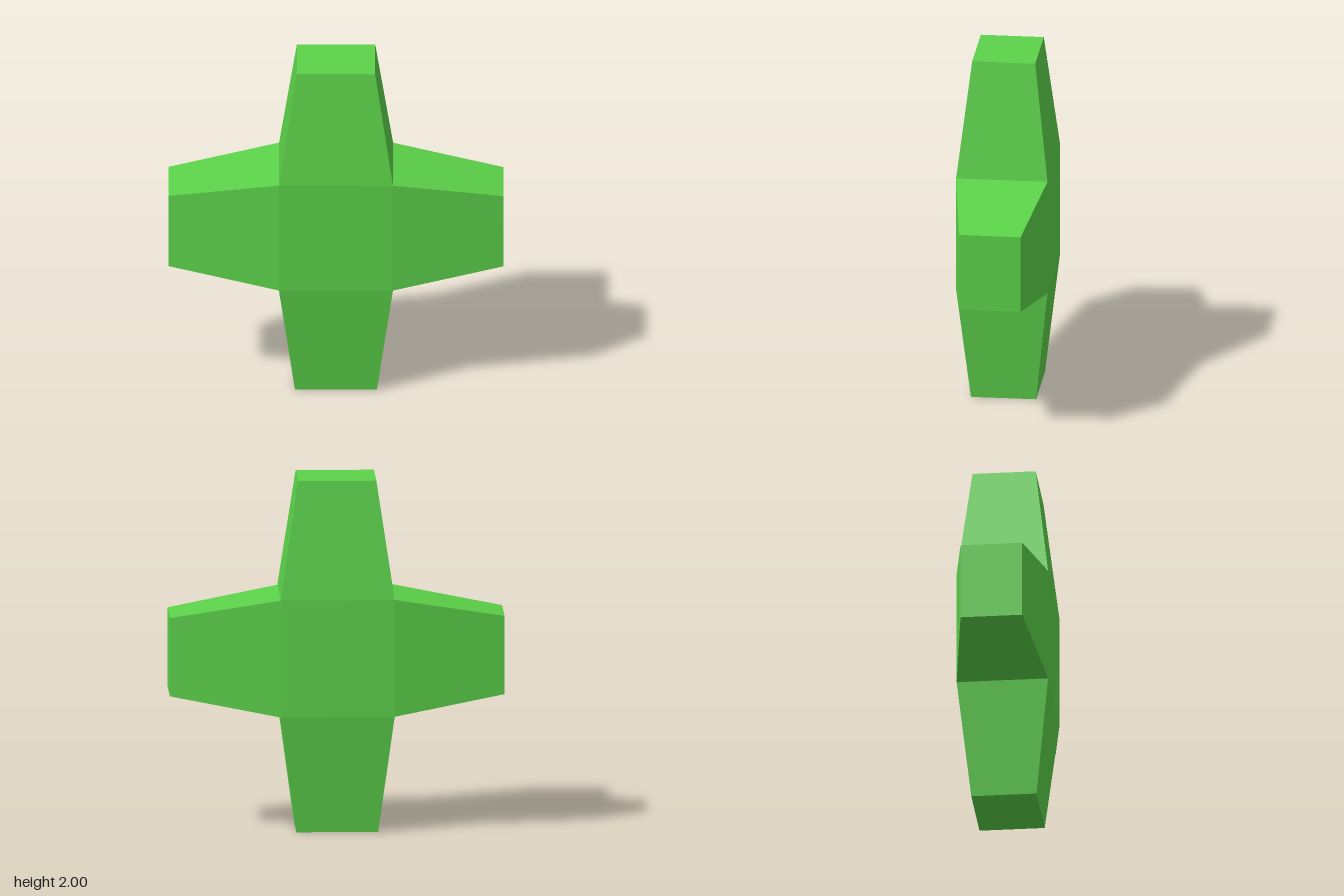
import * as THREE from 'three';

const CORE = { x: 0.32, y: 0.333, z: 0.258 }; // half sizes of the central block
const CENTRE_Y = 1.001;

const material = new THREE.MeshStandardMaterial({ color: 0x5cd24a, flatShading: true });

// Flat-sided surface from quads whose corners run anticlockwise seen from outside
function quadMesh(name, quads) {
  const points = quads.flatMap(([a, b, c, d]) => [a, b, c, a, c, d]);
  const geometry = new THREE.BufferGeometry();
  geometry.setAttribute('position', new THREE.Float32BufferAttribute(points.flat(), 3));
  geometry.computeVertexNormals();
  const mesh = new THREE.Mesh(geometry, material);
  mesh.name = name;
  return mesh;
}

// Rectangular cross-section at height y
const ring = (w, y, d) => [[-w, y, d], [w, y, d], [w, y, -d], [-w, y, -d]];

// Tapered arm pointing up, open where it joins the core
function taperedArm(name, baseW, baseY, tipW, tipY, tipD, angle) {
  const base = ring(baseW, baseY, CORE.z);
  const tip = ring(tipW, tipY, tipD);
  const sides = base.map((p, i) => {
    const j = (i + 1) % 4;
    return [p, base[j], tip[j], tip[i]];
  });
  const mesh = quadMesh(name, [...sides, tip]);
  mesh.rotation.z = angle;
  return mesh;
}

export function createModel() {
  const model = new THREE.Group();
  model.name = 'taperedCross';

  const cross = new THREE.Group();
  cross.name = 'cross';
  cross.position.y = CENTRE_Y;
  model.add(cross);

  // Front and back faces of the core
  const { x, y, z } = CORE;
  cross.add(quadMesh('core', [
    [[-x, -y, z], [x, -y, z], [x, y, z], [-x, y, z]],
    [[x, -y, -z], [-x, -y, -z], [-x, y, -z], [x, y, -z]],
  ]));

  // Upper and lower arms
  cross.add(taperedArm('topArm', x, y, 0.22, 2 - CENTRE_Y, 0.178, 0));
  cross.add(taperedArm('bottomArm', x, y, 0.23, CENTRE_Y, 0.184, Math.PI));

  // Mirrored side arms
  for (const side of [1, -1]) {
    cross.add(taperedArm(side > 0 ? 'leftArm' : 'rightArm',
      y, x, 0.223, 0.94, 0.174, -side * Math.PI / 2));
  }
  return model;
}
